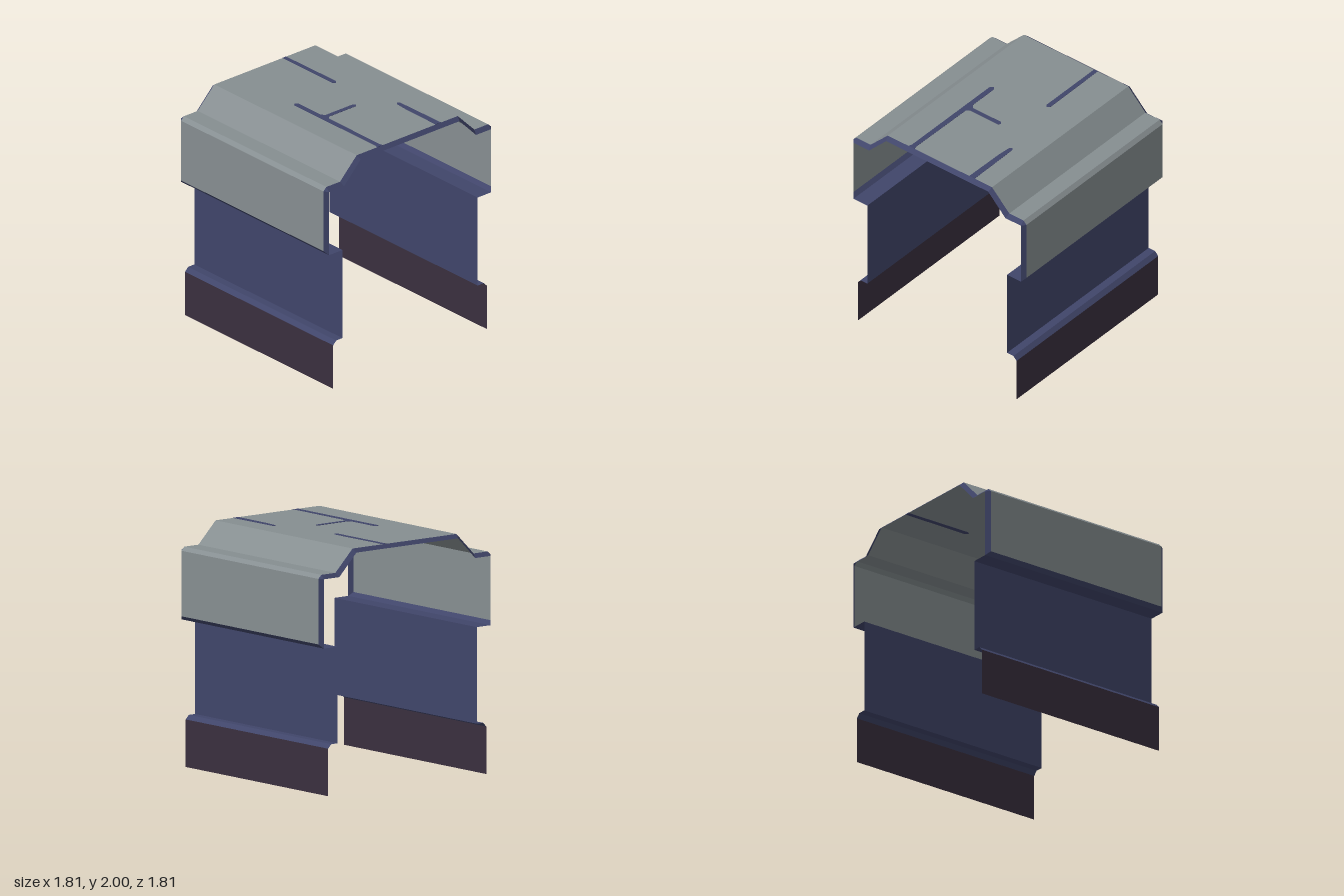
import * as THREE from 'three';

const mat = (name, color) => new THREE.MeshStandardMaterial({ name, color, side: THREE.DoubleSide });

// Flat-shaded sheet ruled between two matching rails of [x, y, z] points
function sheet(name, material, railA, railB) {
  const pos = [];
  for (let i = 0; i < railA.length - 1; i++) {
    const [a, b, c, d] = [railA[i], railB[i], railB[i + 1], railA[i + 1]];
    pos.push(...a, ...b, ...c, ...a, ...c, ...d);
  }
  const geo = new THREE.BufferGeometry();
  geo.setAttribute('position', new THREE.Float32BufferAttribute(pos, 3));
  geo.computeVertexNormals();
  const mesh = new THREE.Mesh(geo, material);
  mesh.name = name;
  return mesh;
}

// Half profile [z, y] from front to middle, completed by mirroring to the back
const mirrored = (half) => [...half, ...half.map(([z, y]) => [-z, y]).reverse()];
const rail = (profile, x) => profile.map(([z, y]) => [x, y, z]);

export function createModel() {
  const group = new THREE.Group();
  const grey = mat('panel grey', 0x868e91);
  const blue = mat('frame blue', 0x40456a);
  const dark = mat('base plum', 0x3a2f3e);
  const inner = 0.87, outer = 0.905;

  // Arched grey cover
  const cover = mirrored([[0.905, 1.25], [0.905, 1.788], [0.873, 1.818], [0.725, 1.818], [0.545, 1.998]]);
  const lining = mirrored([[0.875, 1.217], [0.875, 1.786], [0.875, 1.786], [0.713, 1.786], [0.533, 1.968]]);
  group.add(sheet('cover', grey, rail(cover, -inner), rail(cover, inner)));

  // Bevelled rims at both open ends
  group.add(sheet('leftRim', blue, rail(cover, inner), rail(lining, outer)));
  group.add(sheet('rightRim', blue, rail(lining, -outer), rail(cover, -inner)));

  // Side walls: stepped foot, wall, ledge and lower bevel of the cover, as [z, y, half width]
  const wall = [
    [0.83, 0.39, outer], [0.797, 0.424, outer], [0.73, 0.424, outer],
    [0.73, 1.217, outer], [0.875, 1.217, outer], [0.905, 1.25, inner],
  ];
  const foot = [[0.83, 0, outer], [0.83, 0.39, outer]];
  for (const side of [1, -1]) {
    const label = side > 0 ? 'front' : 'back';
    const edge = (pts, s) => pts.map(([z, y, w]) => [s * side * w, y, side * z]);
    group.add(sheet(label + 'Wall', blue, edge(wall, -1), edge(wall, 1)));
    group.add(sheet(label + 'BasePanel', dark, edge(foot, -1), edge(foot, 1)));
  }

  // Thin grooves on the roof, outlined in [x, z]
  const grooves = [
    [[-0.87, -0.19], [-0.26, -0.19], [-0.238, -0.21], [-0.26, -0.232], [-0.31, -0.232], [-0.87, -0.228]],
    [[0.87, -0.308], [0.5, -0.312], [0.38, -0.322], [0.36, -0.34], [0.38, -0.358], [0.87, -0.364]],
    [[0.87, 0.325], [0.84, 0.316], [-0.155, 0.316], [-0.175, 0.292], [-0.155, 0.27], [0.12, 0.27],
      [0.15, 0.245], [0.15, -0.05], [0.17, -0.068], [0.19, -0.05], [0.19, 0.245], [0.215, 0.268],
      [0.84, 0.273], [0.87, 0.264]],
  ];
  grooves.forEach((pts, i) => {
    const shape = new THREE.Shape(pts.map(([x, z]) => new THREE.Vector2(x, z)));
    const geo = new THREE.ExtrudeGeometry(shape, { depth: 0.004, bevelEnabled: false });
    geo.rotateX(Math.PI / 2).translate(0, 2, 0);
    const mesh = new THREE.Mesh(geo, blue);
    mesh.name = 'roofGroove' + (i + 1);
    group.add(mesh);
  });

  return group;
}
